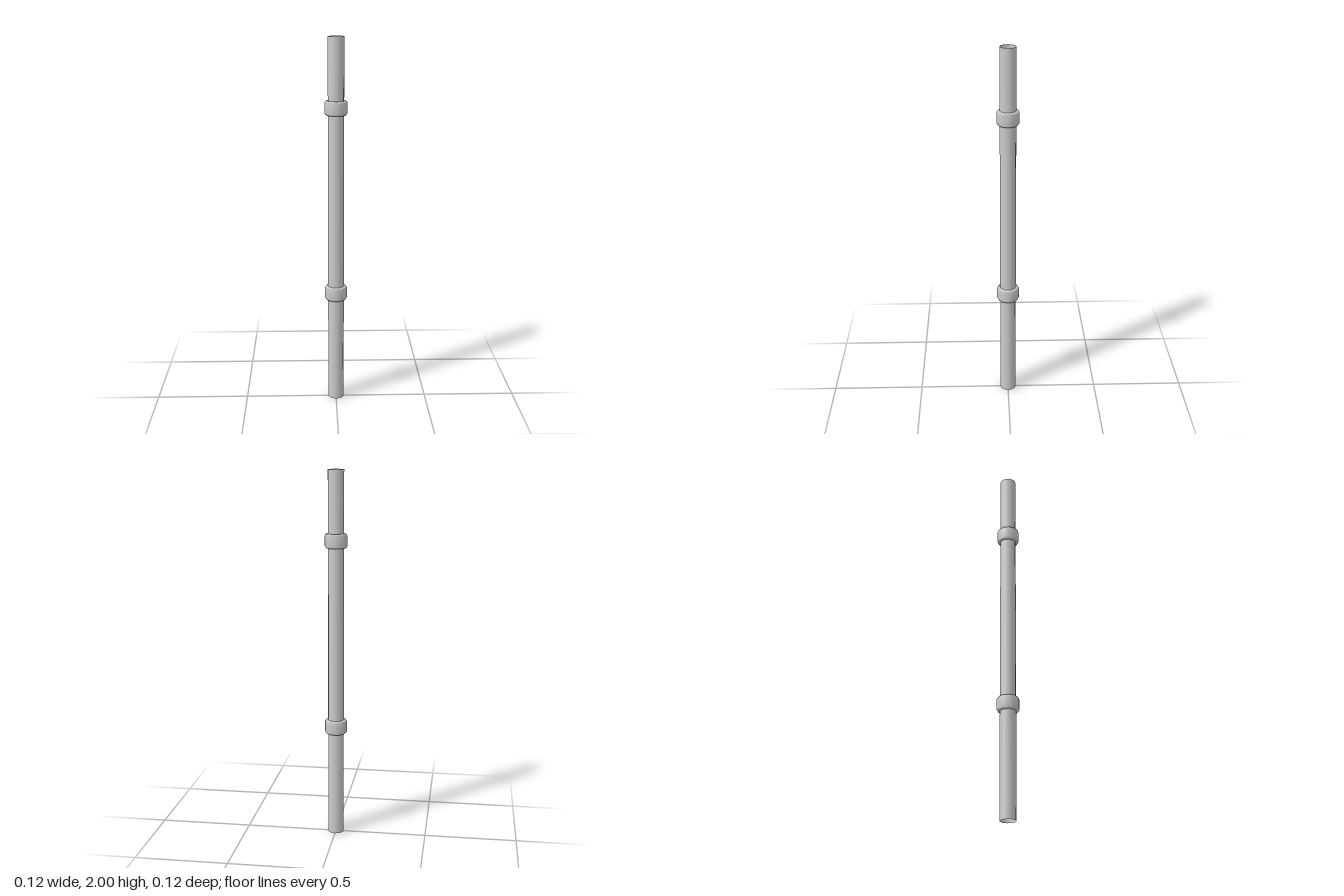
import * as THREE from 'three';

const SIDES = 12;
const PIPE_RADIUS = 0.043;

export function createModel() {
  const model = new THREE.Group();
  model.name = 'pipe';
  const material = new THREE.MeshStandardMaterial({ color: 0xcccccc, side: THREE.DoubleSide });

  // Thin-walled pipe, open at both ends
  const tube = new THREE.Mesh(
    new THREE.CylinderGeometry(PIPE_RADIUS, PIPE_RADIUS, 2, SIDES, 1, true),
    material
  );
  tube.name = 'tube';
  tube.position.y = 1;
  model.add(tube);

  // Joint collars: softly bevelled bands around the pipe
  const profile = [
    [0.044, -0.038],
    [0.054, -0.038],
    [0.06, -0.029],
    [0.06, 0.029],
    [0.054, 0.038],
    [0.044, 0.038],
  ].map(([r, y]) => new THREE.Vector2(r, y));
  const collarGeometry = new THREE.LatheGeometry(profile, SIDES);

  [['lowerCollar', 0.616], ['upperCollar', 1.631]].forEach(([name, y]) => {
    const collar = new THREE.Mesh(collarGeometry, material);
    collar.name = name;
    collar.position.y = y;
    model.add(collar);
  });

  return model;
}
